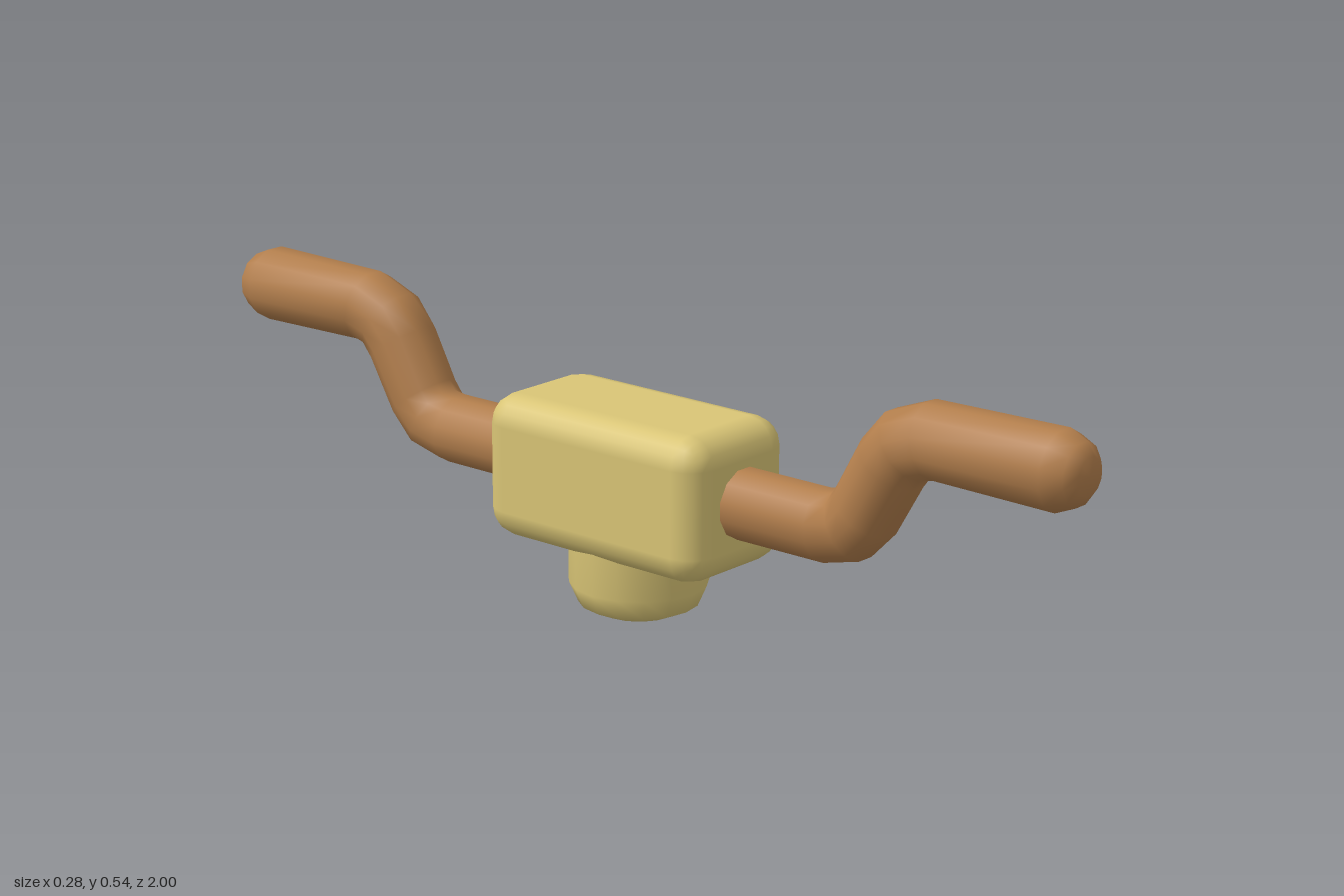
import * as THREE from 'three';
import { RoundedBoxGeometry } from 'three/addons/geometries/RoundedBoxGeometry.js';

const AXIS_X = -0.004;
const SIDES = 12;

// Closed bent rod: round rings swept along a path in the yz plane
function rodGeometry(rings) {
  const pts = rings.map(([z, y]) => new THREE.Vector2(z, y));
  const pos = [], idx = [];
  rings.forEach(([z, y, r], i) => {
    const dir = new THREE.Vector2();
    if (i > 0) dir.add(pts[i].clone().sub(pts[i - 1]).normalize());
    if (i < rings.length - 1) dir.add(pts[i + 1].clone().sub(pts[i]).normalize());
    dir.normalize();
    for (let j = 0; j < SIDES; j++) {
      const a = ((j + 0.5) / SIDES) * Math.PI * 2;
      const u = r * Math.sin(a);
      pos.push(r * Math.cos(a), y + dir.x * u, z - dir.y * u);
    }
  });
  for (let i = 0; i < rings.length - 1; i++) {
    for (let j = 0; j < SIDES; j++) {
      const a = i * SIDES + j, b = i * SIDES + ((j + 1) % SIDES);
      idx.push(a, b, a + SIDES, b, b + SIDES, a + SIDES);
    }
  }
  // End centres
  const first = pos.length / 3, last = (rings.length - 1) * SIDES;
  const start = rings[0], end = rings[rings.length - 1];
  pos.push(0, start[1], start[0], 0, end[1], end[0]);
  for (let j = 0; j < SIDES; j++) {
    const k = (j + 1) % SIDES;
    idx.push(first, k, j, first + 1, last + j, last + k);
  }
  const g = new THREE.BufferGeometry();
  g.setAttribute('position', new THREE.Float32BufferAttribute(pos, 3));
  g.setIndex(idx);
  g.computeVertexNormals();
  return g;
}

export function createModel() {
  const brown = new THREE.MeshStandardMaterial({ color: 0xb27e4c });
  brown.name = 'brown';
  const sand = new THREE.MeshStandardMaterial({ color: 0xd9c576 });
  sand.name = 'sand';

  const model = new THREE.Group();
  const add = (name, geometry, material, x, y) => {
    const mesh = new THREE.Mesh(geometry, material);
    mesh.name = name;
    mesh.position.set(x, y, 0);
    model.add(mesh);
  };

  // Rounded block in the middle
  add('block', new RoundedBoxGeometry(0.275, 0.275, 0.52, 2, 0.056), sand, AXIS_X, 0.2625);

  // Round foot with a softened lower edge
  const foot = [[0, 0], [0.075, 0], [0.114, 0.018], [0.131, 0.057], [0.131, 0.2]]
    .map(([r, y]) => new THREE.Vector2(r, y));
  add('foot', new THREE.LatheGeometry(foot, 16, Math.PI / 2), sand, 0.01, 0);
  const top = new THREE.CircleGeometry(0.131, 16).rotateX(-Math.PI / 2);
  add('footTop', top, sand, 0.01, 0.2);

  // Bent bar, one half as [z, y, radius], mirrored front to back
  const half = [
    [1, 0.467, 0.035], [0.983, 0.467, 0.057], [0.945, 0.467, 0.073],
    [0.68, 0.467, 0.07], [0.625, 0.448, 0.069], [0.592, 0.408, 0.068],
    [0.538, 0.312, 0.067], [0.505, 0.276, 0.067], [0.45, 0.264, 0.067],
    [0.2, 0.264, 0.067],
  ];
  const back = half.map(([z, y, r]) => [-z, y, r]);
  add('bentBar', rodGeometry([...back, ...half.reverse()]), brown, AXIS_X, 0);

  return model;
}
